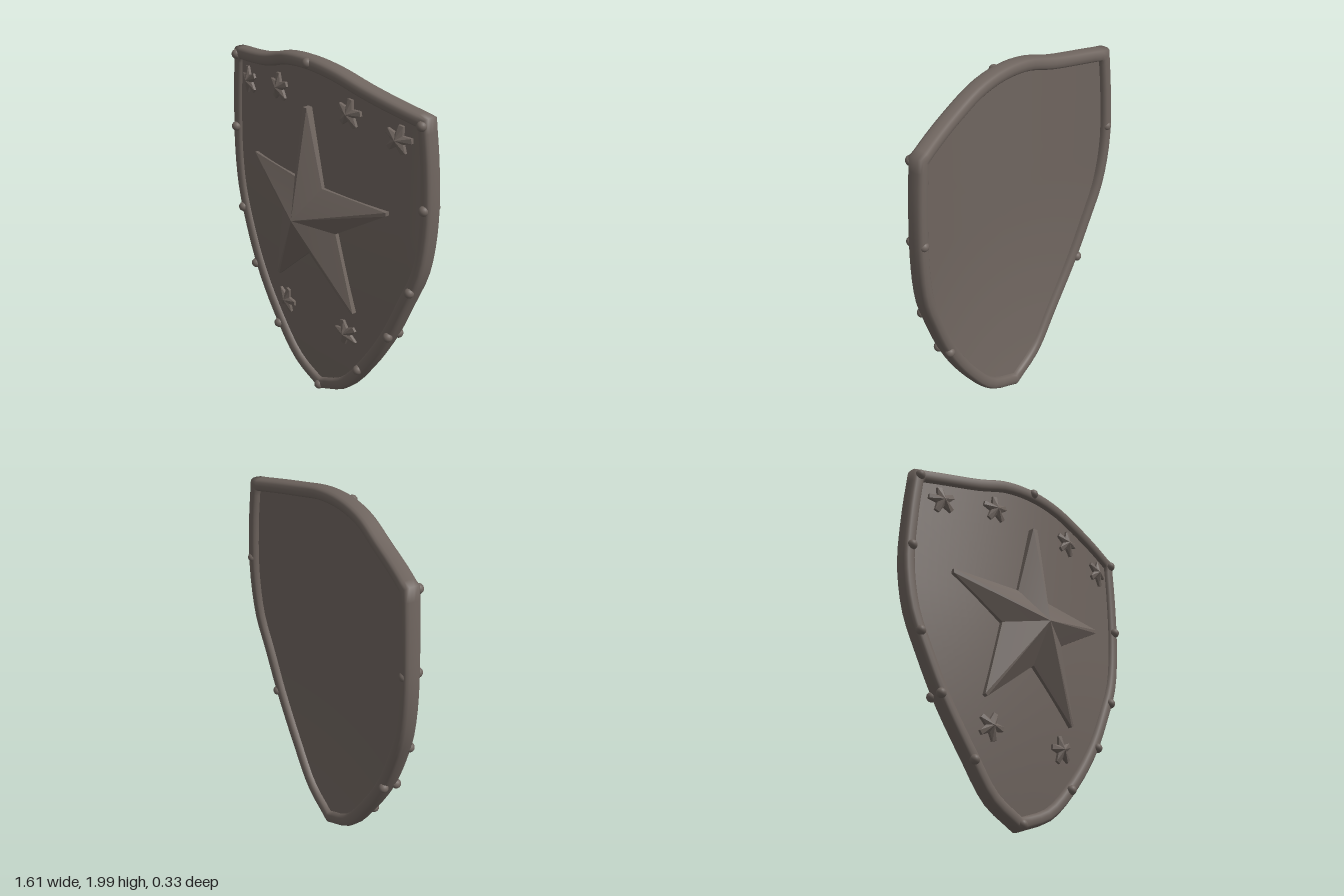
import * as THREE from 'three';
import { mergeVertices, toCreasedNormals } from 'three/addons/utils/BufferGeometryUtils.js';

// Curved middle surface of the shield: bowed sideways, falling back to the tip
const bow = (x, y) => 0.01 - 0.19 * x * x - 0.09 * Math.pow(Math.max(0, 1.2 - y) / 1.2, 2);

// Outline, anticlockwise: right edge, top edge, left edge, meeting at sharp corners
function outline() {
  const edges = [
    [[0, 0.005], [0.22, 0.11], [0.4, 0.31], [0.57, 0.57], [0.69, 0.83], [0.765, 1.02], [0.8, 1.28], [0.793, 1.6], [0.765, 1.86]],
    [[0.765, 1.86], [0.4, 1.94], [0.2, 1.985], [0, 2], [-0.2, 1.98], [-0.4, 1.92], [-0.77, 1.855]],
    [[-0.77, 1.855], [-0.795, 1.6], [-0.805, 1.28], [-0.765, 1.02], [-0.69, 0.83], [-0.56, 0.57], [-0.38, 0.31], [-0.21, 0.11], [0, 0.005]],
  ];
  return edges.flatMap((e) => {
    const curve = new THREE.CatmullRomCurve3(e.map(([x, y]) => new THREE.Vector3(x, y, 0)));
    return curve.getSpacedPoints(28).slice(0, -1);
  });
}

// Surface over a grid of points; i always wraps round, j wraps when asked
function grid(ni, nj, wrapJ, point, flip = false) {
  const pos = [], idx = [];
  for (let j = 0; j < nj; j++) for (let i = 0; i < ni; i++) pos.push(...point(i, j));
  for (let j = 0; j < (wrapJ ? nj : nj - 1); j++) {
    for (let i = 0; i < ni; i++) {
      const a = j * ni + i, b = j * ni + (i + 1) % ni;
      const k = ((j + 1) % nj) * ni;
      const c = k + i, d = k + (i + 1) % ni;
      if (flip) idx.push(a, c, b, b, c, d);
      else idx.push(a, b, c, b, d, c);
    }
  }
  const g = new THREE.BufferGeometry();
  g.setAttribute('position', new THREE.Float32BufferAttribute(pos, 3));
  g.setIndex(idx);
  g.computeVertexNormals();
  return g;
}

// Faceted star: ring of [x, y, z] points round a raised centre, with walls down to the plate
function starGeometry(ring, centre) {
  const pos = [];
  ring.forEach((a, i) => {
    const b = ring[(i + 1) % ring.length];
    const a0 = [a[0], a[1], bow(a[0], a[1])], b0 = [b[0], b[1], bow(b[0], b[1])];
    pos.push(...centre, ...a, ...b, ...a, ...a0, ...b, ...b, ...a0, ...b0);
  });
  const g = new THREE.BufferGeometry();
  g.setAttribute('position', new THREE.Float32BufferAttribute(pos, 3));
  return toCreasedNormals(mergeVertices(g), 0.3);
}

export function createModel() {
  const group = new THREE.Group();
  const metal = new THREE.MeshStandardMaterial({ color: 0x6f655f });
  metal.name = 'dull brown metal';
  const add = (name, geometry) => {
    const mesh = new THREE.Mesh(geometry, metal);
    mesh.name = name;
    group.add(mesh);
    return mesh;
  };

  const pts = outline(), n = pts.length;
  const mid = new THREE.Vector2(0, 1.12);

  // Front and back skins of the plate, running in under the rim
  const skin = (offset) => (i, j) => {
    const s = 0.96 * j / 14;
    const x = pts[i].x * s, y = mid.y + (pts[i].y - mid.y) * s;
    return [x, y, bow(x, y) + offset];
  };
  add('plateFront', grid(n, 15, false, skin(0.018), true));
  add('plateBack', grid(n, 15, false, skin(-0.022)));

  // Rounded rim swept round the outline with mitred corners
  const normals = pts.map((p, i) => {
    const a = pts[(i + n - 1) % n], b = pts[(i + 1) % n];
    const n1 = new THREE.Vector2(p.y - a.y, a.x - p.x).normalize();
    const n2 = new THREE.Vector2(b.y - p.y, p.x - b.x).normalize();
    const m = n1.clone().add(n2).normalize();
    return m.divideScalar(m.dot(n1));
  });
  const round = (v) => Math.sign(v) * Math.pow(Math.abs(v), 0.7);
  add('rim', grid(n, 16, true, (i, j) => {
    const t = j / 16 * Math.PI * 2;
    const out = -0.036 + 0.036 * round(Math.cos(t));
    const x = pts[i].x + normals[i].x * out, y = pts[i].y + normals[i].y * out;
    const cx = pts[i].x - normals[i].x * 0.036, cy = pts[i].y - normals[i].y * 0.036;
    return [x, y, bow(cx, cy) + 0.048 * round(Math.sin(t))];
  }));

  // Large ridged star
  add('largeStar', starGeometry([
    [0.015, 1.735, 0.066], [-0.015, 1.735, 0.066], [-0.11, 1.315, 0.045],
    [-0.525, 1.315, -0.005], [-0.525, 1.29, -0.005], [-0.22, 1.09, 0.04],
    [-0.31, 0.66, 0.015], [-0.295, 0.65, 0.015], [0.005, 0.905, 0.045],
    [0.32, 0.645, 0.015], [0.335, 0.655, 0.015], [0.22, 1.09, 0.04],
    [0.55, 1.295, -0.005], [0.55, 1.315, -0.005], [0.115, 1.315, 0.045],
  ], [0.01, 1.13, 0.17]));

  // Small blunt stars: x, y, turn
  [[-0.6, 1.71, 0.25], [-0.265, 1.77, 0.1], [0.295, 1.775, -0.1],
    [0.6, 1.715, -0.2], [-0.25, 0.5, -0.3], [0.26, 0.5, 0.3]].forEach(([x, y, turn]) => {
    const ring = [];
    for (let k = 0; k < 5; k++) {
      for (const [da, r, h] of [[-0.17, 0.078, 0.032], [0.17, 0.078, 0.032], [Math.PI / 5, 0.036, 0.034]]) {
        const a = Math.PI / 2 + turn + k * Math.PI * 0.4 + da;
        const px = x + r * Math.cos(a), py = y + r * Math.sin(a);
        ring.push([px, py, bow(px, py) + h]);
      }
    }
    add('smallStar', starGeometry(ring, [x, y, bow(x, y) + 0.056]));
  });

  // Rivets round the rim; the side ones also show at the back
  const ball = new THREE.SphereGeometry(0.027, 16, 12);
  const rivet = (x, y, dz) => add('rivet', ball).position.set(x, y, bow(x, y) + dz);
  rivet(0, 1.97, 0.04);
  rivet(0, 0.04, 0.04);
  for (const s of [-1, 1]) {
    [[0.74, 1.82], [0.767, 1.385], [0.7, 0.91], [0.567, 0.6], [0.345, 0.3]].forEach(([x, y], i) => {
      rivet(s * x, y, 0.045);
      if (i === 1 || i === 3) rivet(s * x, y, -0.032);
    });
  }
  return group;
}
